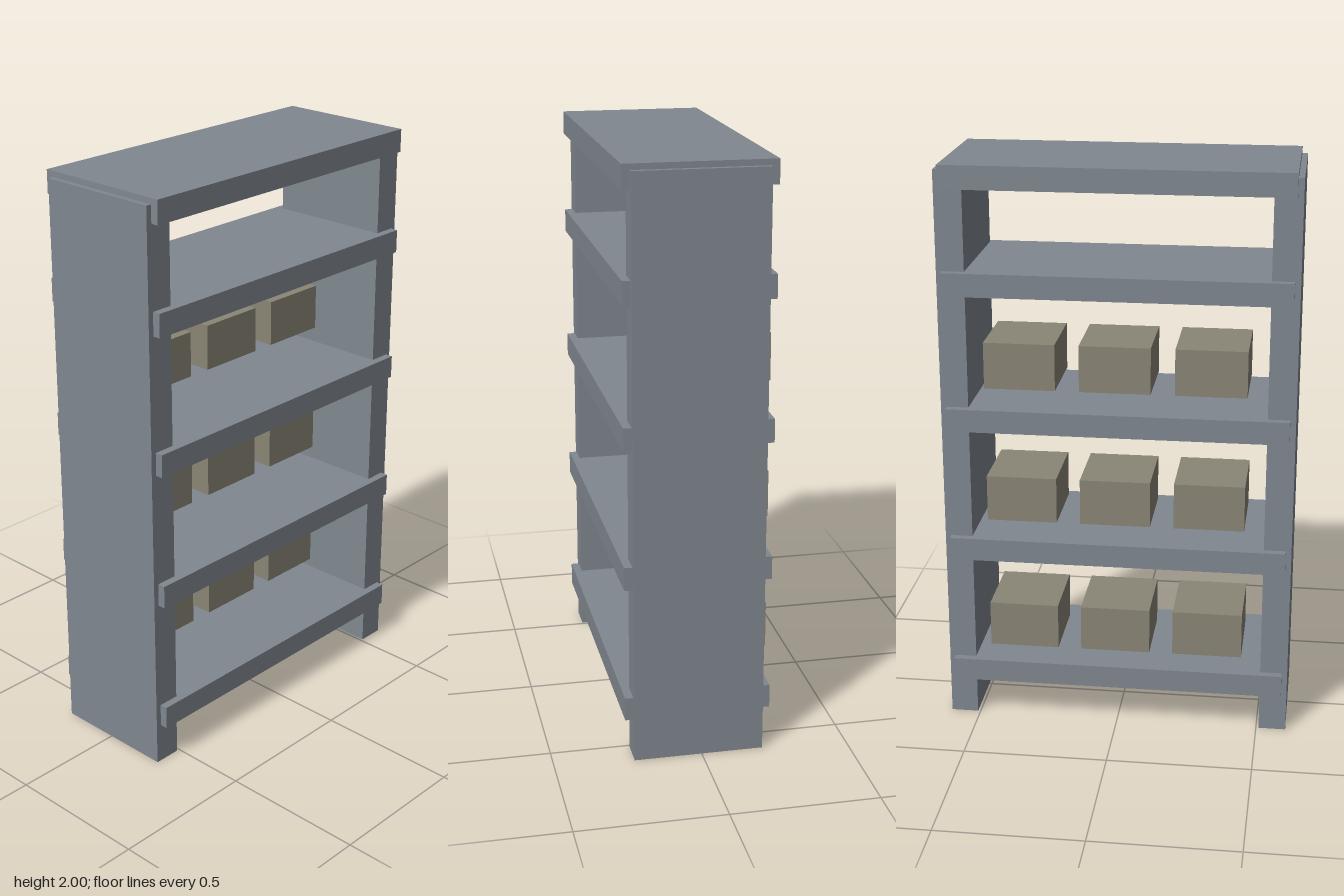
import * as THREE from 'three';

const steel = new THREE.MeshStandardMaterial({ name: 'greySteel', color: 0x808890 });
const card = new THREE.MeshStandardMaterial({ name: 'dullCardboard', color: 0x8a8676 });

// Box given by its centre in x and z and by its bottom in y
function addBox(parent, name, material, [w, h, d], [x, bottom, z]) {
  const mesh = new THREE.Mesh(new THREE.BoxGeometry(w, h, d), material);
  mesh.name = name;
  mesh.position.set(x, bottom + h / 2, z);
  parent.add(mesh);
}

export function createModel() {
  const rack = new THREE.Group();
  rack.name = 'storageRack';
  const frameZ = 0.01;

  // Side panels, standing on the floor
  for (const [side, s] of [['left', 1], ['right', -1]]) {
    addBox(rack, side + 'SidePanel', steel, [0.095, 1.98, 0.44], [s * 0.557, 0, frameZ]);
  }

  // Shelves, overhanging the panels front and back
  const shelfBottoms = [0.142, 0.61, 1.085, 1.56, 1.92];
  shelfBottoms.forEach((y, i) => {
    const name = i === 4 ? 'topBoard' : 'shelf' + (i + 1);
    addBox(rack, name, steel, [1.17, 0.08, 0.495], [0, y, frameZ]);
  });

  // Three rows of three boxes, pushed towards the back
  for (let row = 0; row < 3; row++) {
    for (let col = -1; col <= 1; col++) {
      addBox(rack, `box${row + 1}_${col + 2}`, card, [0.241, 0.16, 0.27],
        [col * 0.322, 0.3 + row * 0.476, -0.123]);
    }
  }
  return rack;
}
